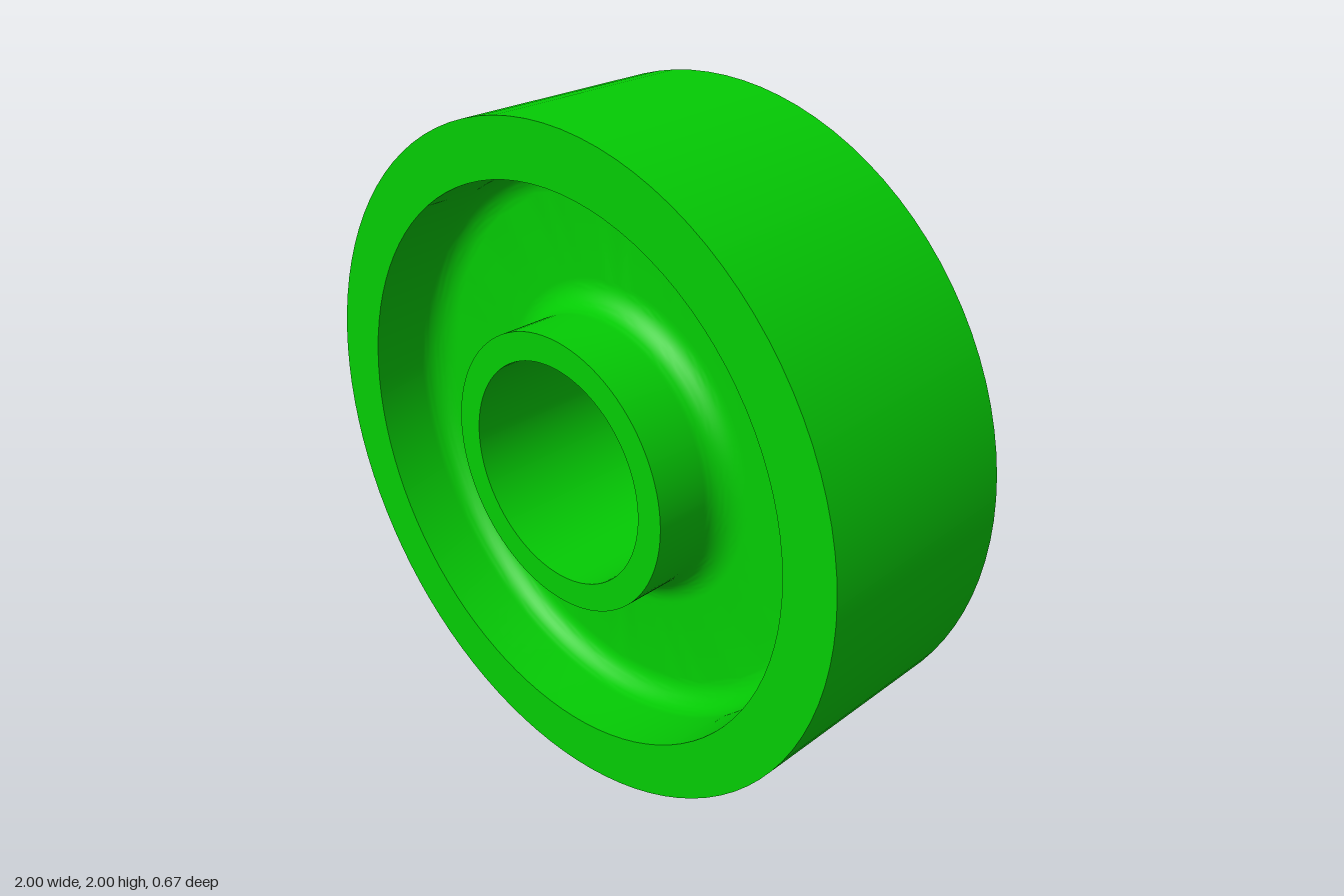
import * as THREE from 'three';
import { toCreasedNormals } from 'three/addons/utils/BufferGeometryUtils.js';

const BORE = 1 / 3, HUB = 0.417, RIM = 0.833, OUTER = 1;
const HALF = 1 / 3;      // half the width
const WEB = 0.083;       // half the thickness of the recessed web
const FILLET = 0.083;

// Half cross-section (one side face), from the bore out to the tread
function sideProfile() {
  const pts = [new THREE.Vector2(BORE, -HALF), new THREE.Vector2(HUB, -HALF)];
  const arc = (cx, from, to) => {
    const steps = 16;
    for (let i = 0; i <= steps; i++) {
      const a = from + (to - from) * i / steps;
      pts.push(new THREE.Vector2(cx + FILLET * Math.cos(a), -WEB - FILLET + FILLET * Math.sin(a)));
    }
  };
  arc(HUB + FILLET, Math.PI, Math.PI / 2);   // hub to web
  arc(RIM - FILLET, Math.PI / 2, 0);         // web to rim
  pts.push(new THREE.Vector2(RIM, -HALF), new THREE.Vector2(OUTER, -HALF));
  return pts;
}

export function createModel() {
  const group = new THREE.Group();
  group.name = 'wheel';

  // Closed section: one side, its mirror image, then back down the bore
  const side = sideProfile();
  const mirrored = side.map(p => new THREE.Vector2(p.x, -p.y)).reverse();
  const section = [...side, ...mirrored, side[0].clone()];

  const geometry = toCreasedNormals(new THREE.LatheGeometry(section, 96), Math.PI / 6);
  geometry.rotateX(Math.PI / 2);             // axle along z
  geometry.translate(0, OUTER, 0);

  const body = new THREE.Mesh(geometry, new THREE.MeshStandardMaterial({ color: 0x04cc04 }));
  body.name = 'wheelBody';
  group.add(body);
  return group;
}
